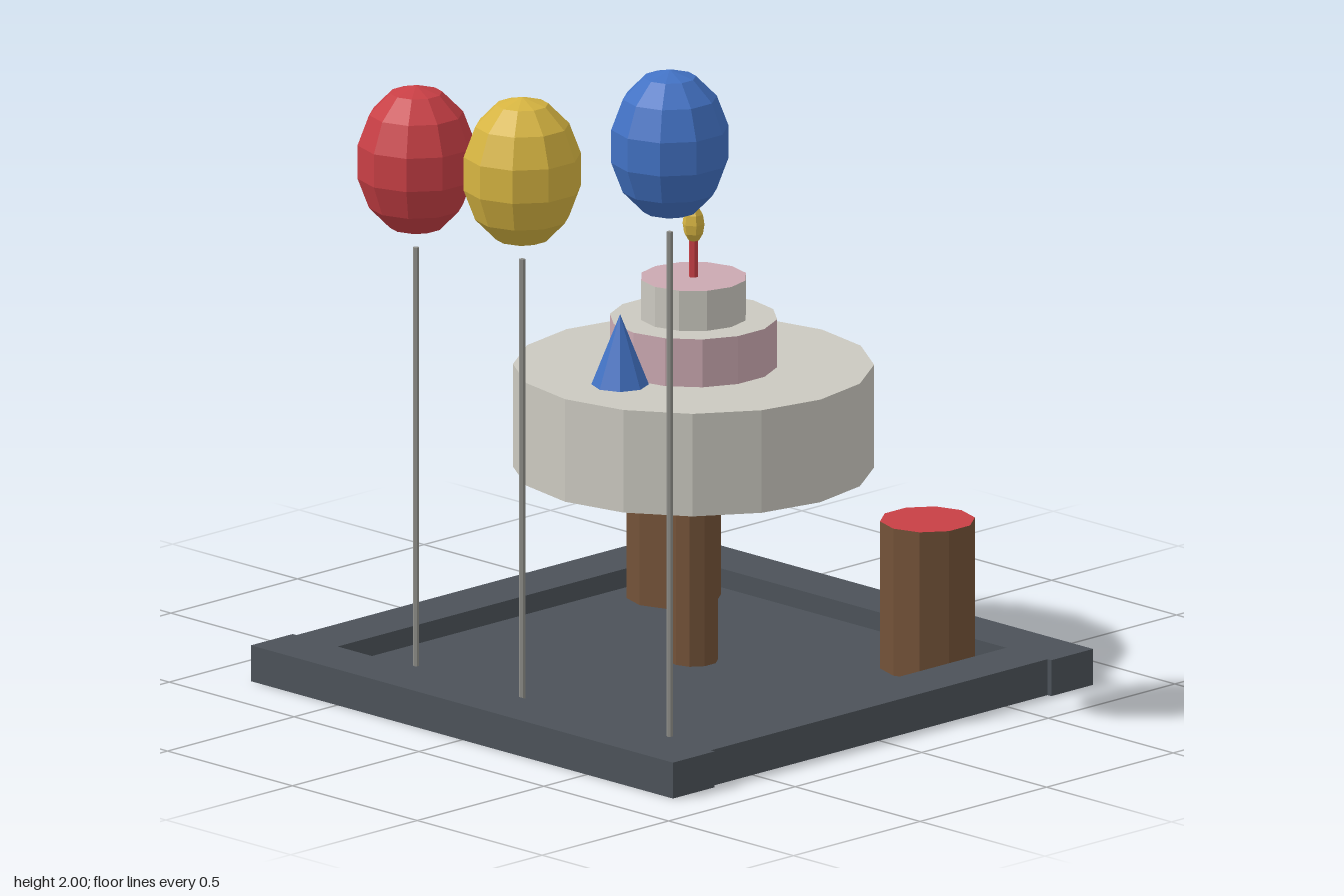
import * as THREE from 'three';

const mat = (name, color) => {
  const m = new THREE.MeshStandardMaterial({ color, flatShading: true });
  m.name = name;
  return m;
};

export function createModel() {
  const slate = mat('slate', 0x4c5259);
  const cream = mat('cream', 0xcbc9c0);
  const pink = mat('pink', 0xcba9b1);
  const wood = mat('wood', 0x735238);
  const red = mat('red', 0xc83f45);
  const blue = mat('blue', 0x4272c4);
  const gold = mat('gold', 0xd6b441);
  const grey = mat('grey', 0x8f8f8a);

  const model = new THREE.Group();
  model.name = 'partyTable';
  const floorY = 0.05;
  const cakeZ = -0.085;

  function add(name, geometry, material, x, y, z) {
    const mesh = new THREE.Mesh(geometry, material);
    mesh.name = name;
    mesh.position.set(x, y, z);
    model.add(mesh);
    return mesh;
  }

  // Upright cylinder between two heights; material may be [side, top, bottom]
  function column(name, r, sides, y0, y1, material, x, z) {
    return add(name, new THREE.CylinderGeometry(r, r, y1 - y0, sides), material, x, (y0 + y1) / 2, z);
  }

  // Faceted egg shape with a corner facing front
  function egg(name, r, h, sides, rings, material, x, y, z) {
    const g = new THREE.SphereGeometry(1, sides, rings);
    g.rotateY(Math.PI / 2);
    g.scale(r, h, r);
    return add(name, g, material, x, y, z);
  }

  // Tray base: sunken floor and raised rim
  add('floor', new THREE.BoxGeometry(1.33, floorY, 1.33), slate, 0, floorY / 2, 0);
  for (const s of [-1, 1]) {
    add('rimLong', new THREE.BoxGeometry(1.69, 0.105, 0.165), slate, 0, 0.0525, s * 0.7475);
    add('rimSide', new THREE.BoxGeometry(0.165, 0.105, 1.33), slate, s * 0.7475, 0.0525, 0);
    // Stools with red seats
    column('stool', 0.135, 10, floorY, 0.48, [wood, red, wood], s * 0.508, -0.508);
  }

  // Table on a single post
  column('tablePost', 0.07, 10, floorY, 0.615, wood, 0, cakeZ);
  column('tableTop', 0.508, 16, 0.615, 0.915, [cream, cream, slate], 0, cakeZ);

  // Two-tier cake with candle
  column('lowerTier', 0.237, 14, 0.915, 1.055, [pink, cream, pink], 0, cakeZ);
  column('upperTier', 0.152, 12, 1.055, 1.172, [cream, pink, cream], 0, cakeZ);
  column('candle', 0.013, 6, 1.172, 1.29, red, 0, cakeZ);
  egg('flame', 0.032, 0.055, 6, 6, gold, 0, 1.327, cakeZ);

  // Party hat
  add('partyHat', new THREE.ConeGeometry(0.081, 0.205, 8), blue, 0, 1.0175, 0.205);

  // Balloons on sticks
  const balloons = [
    ['Red', red, -0.508, 1.53, 0.51],
    ['Gold', gold, 0, 1.615, 0.592],
    ['Blue', blue, 0.508, 1.782, 0.51],
  ];
  for (const [label, material, x, y, z] of balloons) {
    egg('balloon' + label, 0.171, 0.218, 10, 7, material, x, y, z);
    column('stick' + label, 0.009, 6, floorY, y - 0.256, grey, x, z);
  }

  return model;
}
